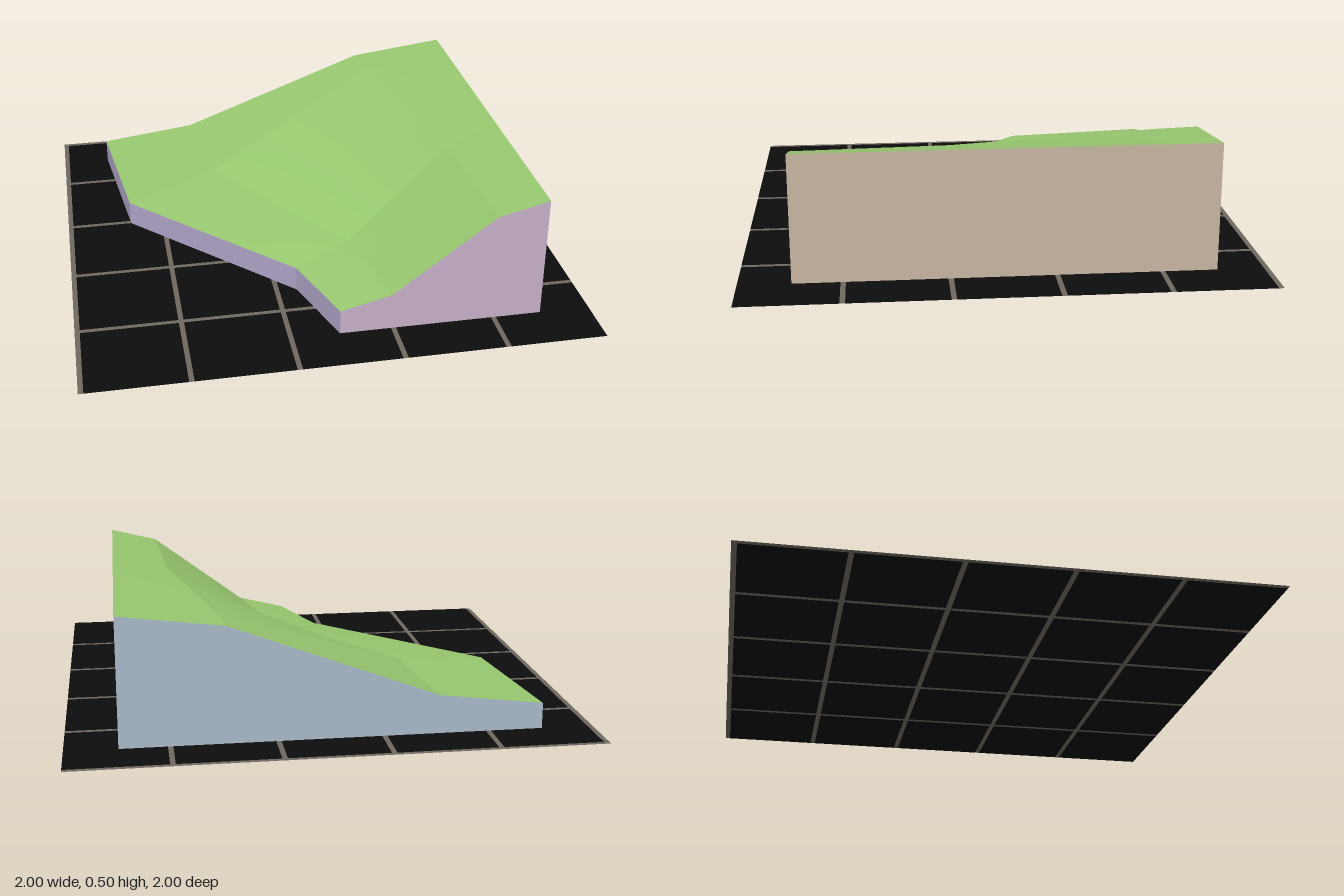
import * as THREE from 'three';

const mat = (name, color, side = THREE.FrontSide) => {
  const m = new THREE.MeshStandardMaterial({ color, side });
  m.name = name;
  return m;
};

// Surface through a grid of points, faces towards (column x row) up
function patch(point, nu, nv) {
  const pos = [], index = [];
  for (let j = 0; j <= nv; j++) for (let i = 0; i <= nu; i++) pos.push(...point(i / nu, j / nv).toArray());
  for (let j = 0; j < nv; j++) for (let i = 0; i < nu; i++) {
    const a = j * (nu + 1) + i, b = a + nu + 1;
    index.push(a, b, b + 1, a, b + 1, a + 1);
  }
  const g = new THREE.BufferGeometry();
  g.setAttribute('position', new THREE.Float32BufferAttribute(pos, 3));
  g.setIndex(index);
  g.computeVertexNormals();
  return g;
}

export function createModel() {
  const model = new THREE.Group();
  const add = (parent, name, geometry, material) => {
    const mesh = new THREE.Mesh(geometry, material);
    mesh.name = name;
    parent.add(mesh);
    return mesh;
  };
  const green = mat('grass green', 0x98c870, THREE.DoubleSide);
  const pink = mat('pink', 0xc8b0c8);
  const tan = mat('tan', 0xc8b4a0);
  const blue = mat('grey blue', 0xa8b8c8);
  const purple = mat('lilac', 0xb0a4c8);
  const black = mat('black', 0x0c0c0c, THREE.DoubleSide);
  const line = mat('grid grey', 0x706860, THREE.DoubleSide);

  // Cross-sections from back to front: [low end x, z, high end z]
  const sections = [[-0.8, -0.8, -0.8], [-0.73, -0.18, -0.78], [-0.11, 0.47, 0.11], [0, 0.8, 0.8]];
  const profile = [[0, 0.1], [0.25, 0.15], [0.75, 0.45], [1, 0.5]];
  const rows = sections.map(([x, z0, z1]) => profile.map(([t, y]) =>
    new THREE.Vector3(THREE.MathUtils.lerp(x, 0.8, t), y, THREE.MathUtils.lerp(z0, z1, t))));

  // Sloping ground: one ruled patch between each four neighbouring points
  const ground = new THREE.Group();
  ground.name = 'slopingGround';
  model.add(ground);
  for (let j = 0; j < 3; j++) for (let i = 0; i < 3; i++) {
    const [a, b, c, d] = [rows[j][i], rows[j][i + 1], rows[j + 1][i], rows[j + 1][i + 1]];
    add(ground, 'groundPatch', patch((u, v) =>
      a.clone().lerp(b, u).lerp(c.clone().lerp(d, u), v), 8, 8), green);
  }

  // Upright sides below the rim, each listed left to right as seen from outside
  const wall = (name, rim, material) => {
    for (let k = 0; k < rim.length - 1; k++) {
      const geometry = patch((u, v) => {
        const p = rim[k].clone().lerp(rim[k + 1], u);
        p.y *= 1 - v;
        return p;
      }, 1, 1);
      add(model, name, geometry, material);
    }
  };
  wall('frontWall', rows[3], pink);
  wall('highWall', rows.map(r => r[3]).reverse(), tan);
  wall('backWall', [...rows[0]].reverse(), blue);
  wall('lowWall', rows.map(r => r[0]), purple);

  // Base sheet: dark tiles, with a grid line along the back and low edge of each
  const base = new THREE.Group();
  base.name = 'gridBase';
  model.add(base);
  const sheet = (name, x, z, w, d, material) => {
    const g = new THREE.PlaneGeometry(w, d).rotateX(-Math.PI / 2).translate(x + w / 2, 0, z + d / 2);
    add(base, name, g, material);
  };
  const cell = 0.4, gap = 0.02;
  for (let i = 0; i < 5; i++) {
    const s = -1 + i * cell;
    sheet('gridLineAcross', -1, s, 2, gap, line);
    for (let j = 0; j < 5; j++) {
      const z = -1 + j * cell + gap;
      sheet('gridLineAlong', s, z, gap, cell - gap, line);
      sheet('baseTile', s + gap, z, cell - gap, cell - gap, black);
    }
  }
  return model;
}
